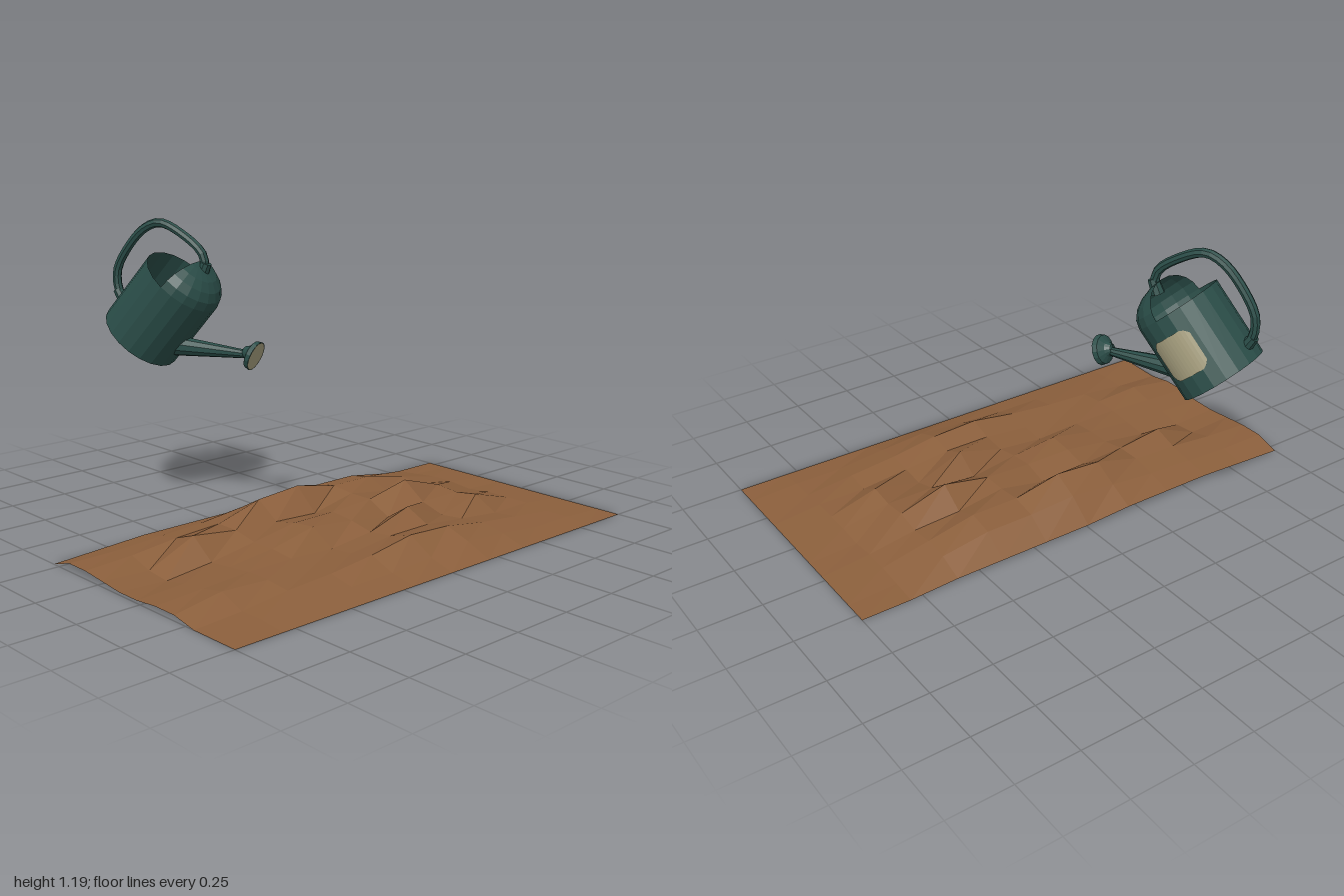
import * as THREE from 'three';

const mat = (name, color) => {
  const m = new THREE.MeshStandardMaterial({ color, side: THREE.DoubleSide });
  m.name = name;
  return m;
};

// Mesh with one normal per face for the faceted look
function part(name, geometry, material) {
  const g = geometry.index ? geometry.toNonIndexed() : geometry;
  g.computeVertexNormals();
  const mesh = new THREE.Mesh(g, material);
  mesh.name = name;
  return mesh;
}

// Point a mesh's y axis along a direction
function aim(mesh, position, direction) {
  mesh.position.copy(position);
  mesh.quaternion.setFromUnitVectors(new THREE.Vector3(0, 1, 0), direction.clone().normalize());
  return mesh;
}

// Soil heights in hundredths: rows run back to front, columns along x
const SOIL = [
  [0, 1, 2, 2, 2, 1, 1, 1, 1, 0, 0],
  [3, 3, 4, 5, 7, 9, 8, 8, 5, 1, 0],
  [3, 4, 6, 7, 12.5, 14, 10, 10, 6, 2, 0],
  [2, 1, 9.5, 7, 6, 5, 9, 6, 5, 2, 0],
  [1, 0, 2, 5, 8, 8, 9, 13, 7, 1, 0],
  [1, 2, 3, 5, 9, 7, 4, 6, 6, 2, 0],
  [2, 3, 4, 4, 3, 5, 10.7, 3, 7.5, 2, 0],
  [2, 5, 4, 3, 4, 6, 6, 4, 2, 2, 0],
  [0, 1, 3, 4, 6, 9, 8, 5, 3, 1, 0],
  [0, 1, 2, 2, 2, 3, 4.5, 3, 1, 1, 0],
  [0, 0, 0, 0, 0, 0, 0, 0, 0, 0, 0],
];

function createSoil(material) {
  const g = new THREE.PlaneGeometry(2, 1.035, 10, 10);
  g.rotateX(-Math.PI / 2);
  g.translate(0, 0, 0.2325);
  SOIL.flat().forEach((h, i) => g.attributes.position.setY(i, h / 100));
  return part('soil', g, material);
}

function createCan(green, tan) {
  const can = new THREE.Group();
  can.name = 'wateringCan';
  const R = 0.166, H = 0.305, SIDES = 20;
  const v = (y, z) => new THREE.Vector3(0, y, z);

  // Open body with a floor
  const wall = new THREE.CylinderGeometry(R, R, H, SIDES, 1, true);
  wall.translate(0, H / 2, 0);
  can.add(part('body', wall, green));
  const floor = new THREE.CircleGeometry(R, SIDES, -Math.PI / 2);
  floor.rotateX(Math.PI / 2);
  can.add(part('bottom', floor, green));

  // Half dome over the front of the opening
  const hood = new THREE.SphereGeometry(R, SIDES / 2, 5, 0, Math.PI, 0, Math.PI / 2);
  hood.scale(1, 0.11 / R, 1);
  hood.translate(0, H, 0);
  can.add(part('hood', hood, green));

  // Handle from the hood over to the back of the body
  const path = new THREE.CatmullRomCurve3([
    v(0.38, 0.045), v(0.42, 0.03), v(0.449, -0.01), v(0.447, -0.11), v(0.412, -0.222),
    v(0.345, -0.262), v(0.235, -0.27), v(0.131, -0.25), v(0.075, -0.2), v(0.06, -0.16),
  ]);
  can.add(part('handle', new THREE.TubeGeometry(path, 24, 0.018, 8), green));
  const foot = new THREE.CylinderGeometry(0.021, 0.026, 0.06, 8);
  can.add(aim(part('handleFoot', foot, green), v(0.405, 0.038), v(1, -0.3)));
  const backFoot = new THREE.CylinderGeometry(0.02, 0.024, 0.05, 8);
  can.add(aim(part('handleBackFoot', backFoot, green), v(0.062, -0.175), v(0.3, -1)));

  // Tapered spout
  const start = v(0.055, 0.1), end = v(0.28, 0.378);
  const along = end.clone().sub(start);
  const spout = new THREE.CylinderGeometry(0.017, 0.045, along.length(), 10);
  can.add(aim(part('spout', spout, green), start.clone().add(end).multiplyScalar(0.5), along));

  // Sprinkler head with a pale face
  const tip = v(0.307, 0.418), facing = v(0.33, 0.94);
  const profile = [[0.017, -0.055], [0.03, -0.035], [0.056, -0.02], [0.06, 0]];
  const rose = new THREE.LatheGeometry(profile.map(([x, y]) => new THREE.Vector2(x, y)), 14);
  can.add(aim(part('sprinklerHead', rose, green), tip, facing));
  const face = new THREE.CircleGeometry(0.058, 14);
  face.rotateX(-Math.PI / 2);
  can.add(aim(part('sprinklerFace', face, tan), tip, facing));

  // Curved label with cut corners on the left side
  const label = new THREE.CylinderGeometry(R + 0.003, R + 0.003, 0.16, 12, 1, true, Math.PI / 2 - 0.52, 1.04);
  const p = label.attributes.position;
  for (let i = 0; i < p.count; i++) {
    const t = Math.abs(Math.atan2(p.getZ(i), p.getX(i))) / 0.52;
    p.setY(i, p.getY(i) * Math.min(1, 0.7 + (1 - t) * 1.2));
  }
  label.translate(0, 0.155, 0);
  can.add(part('label', label, tan));

  // Tilted as if pouring
  can.rotation.set(0.71, 0.384, 0, 'YXZ');
  can.position.set(-0.35, 0.715, -0.62);
  return can;
}

export function createModel() {
  const model = new THREE.Group();
  model.name = 'wateringCanOverSoil';
  model.add(createSoil(mat('soilBrown', 0x8b5f3c)));
  model.add(createCan(mat('darkGreen', 0x2a4d48), mat('paleTan', 0xa39c7c)));
  return model;
}
